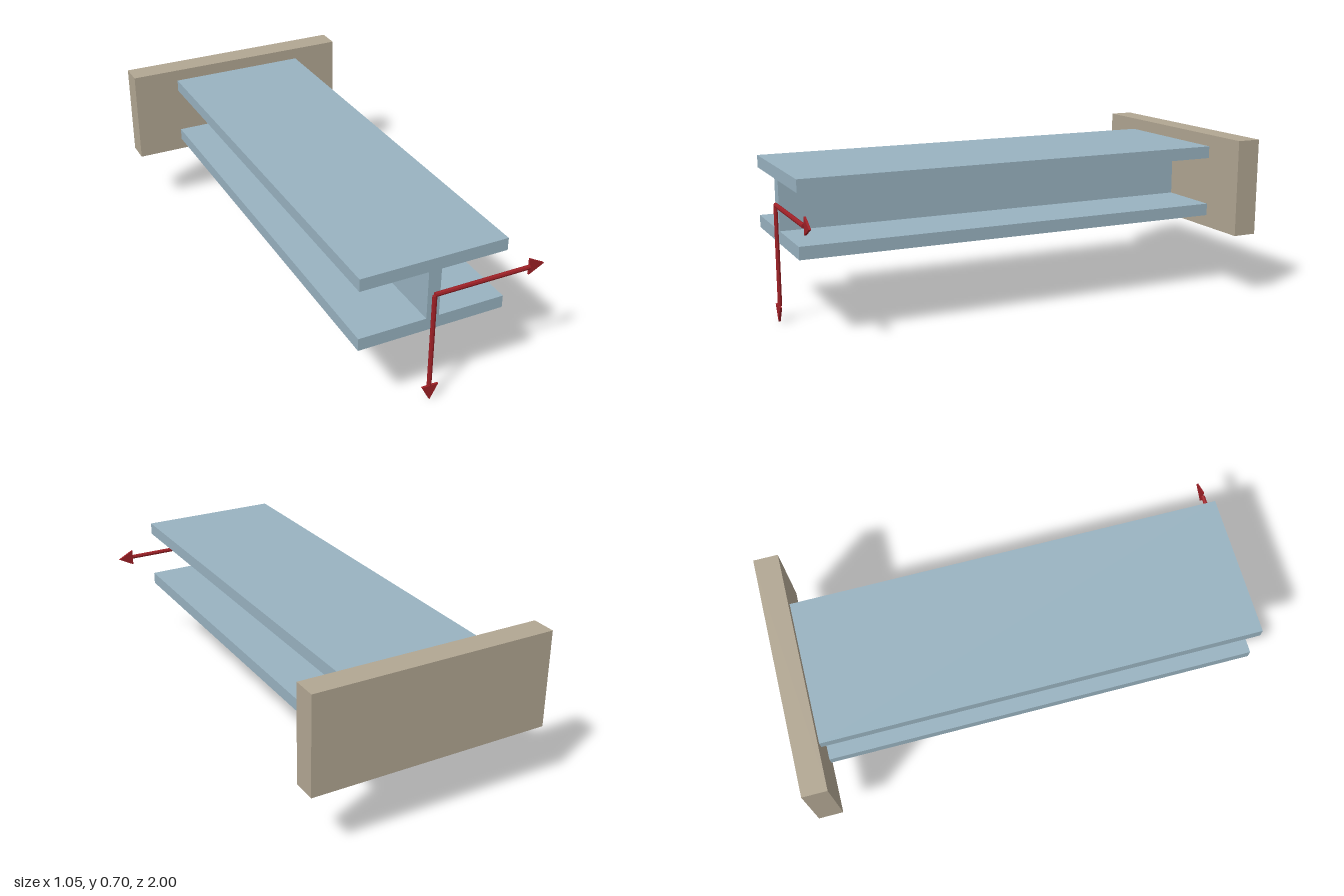
import * as THREE from 'three';

const mat = (color) => new THREE.MeshStandardMaterial({ color, flatShading: true });

function extrude(points, depth, z, material, name) {
  const shape = new THREE.Shape(points.map(([x, y]) => new THREE.Vector2(x, y)));
  const geo = new THREE.ExtrudeGeometry(shape, { depth, bevelEnabled: false });
  const mesh = new THREE.Mesh(geo, material);
  mesh.position.z = z;
  mesh.name = name;
  return mesh;
}

// Arrow starting at its own origin and pointing along +y
function arrow(name, length, headZ, material) {
  const headLength = 0.068, headHalf = 0.036, radius = 0.01;
  const shaftLength = length - headLength;
  const group = new THREE.Group();
  group.name = name;
  const shaft = new THREE.Mesh(new THREE.CylinderGeometry(radius, radius, shaftLength, 8), material);
  shaft.name = 'arrowShaft';
  shaft.position.y = shaftLength / 2;
  shaft.scale.z = 0.9;
  const head = extrude([[-headHalf, shaftLength], [headHalf, shaftLength], [0, length]],
    0.009, headZ, material, 'arrowHead');
  group.add(shaft, head);
  return group;
}

export function createModel() {
  const model = new THREE.Group();
  model.name = 'cantileverBeam';
  const steel = mat(0x98b2c0), stone = mat(0xb1a692), red = mat(0x9e2026);
  const centreY = 0.49;

  // Support plate at the back
  const plate = new THREE.Mesh(new THREE.BoxGeometry(1.046, 0.418, 0.105), stone);
  plate.name = 'supportPlate';
  plate.position.set(0, centreY, -0.9475);
  model.add(plate);

  // I-section: one quadrant profile mirrored around the outline
  const w = 0.3125, web = 0.027, h = 0.157, inner = 0.104;
  const right = [[w, -h], [w, -inner], [web, -inner], [web, inner], [w, inner], [w, h]];
  const left = right.map(([x, y]) => [-x, y]).reverse();
  const beam = extrude([...right, ...left], 1.88, -0.895, steel, 'beam');
  beam.position.y = centreY;
  model.add(beam);

  // Load arrows at the free end
  const down = arrow('downArrow', 0.487, 0, red);
  down.rotation.z = Math.PI;
  down.position.set(0, centreY - 0.003, 0.991);
  const side = arrow('sideArrow', 0.487, -0.009, red);
  side.rotation.z = -Math.PI / 2;
  side.position.set(0, centreY, 0.991);
  model.add(down, side);

  return model;
}
